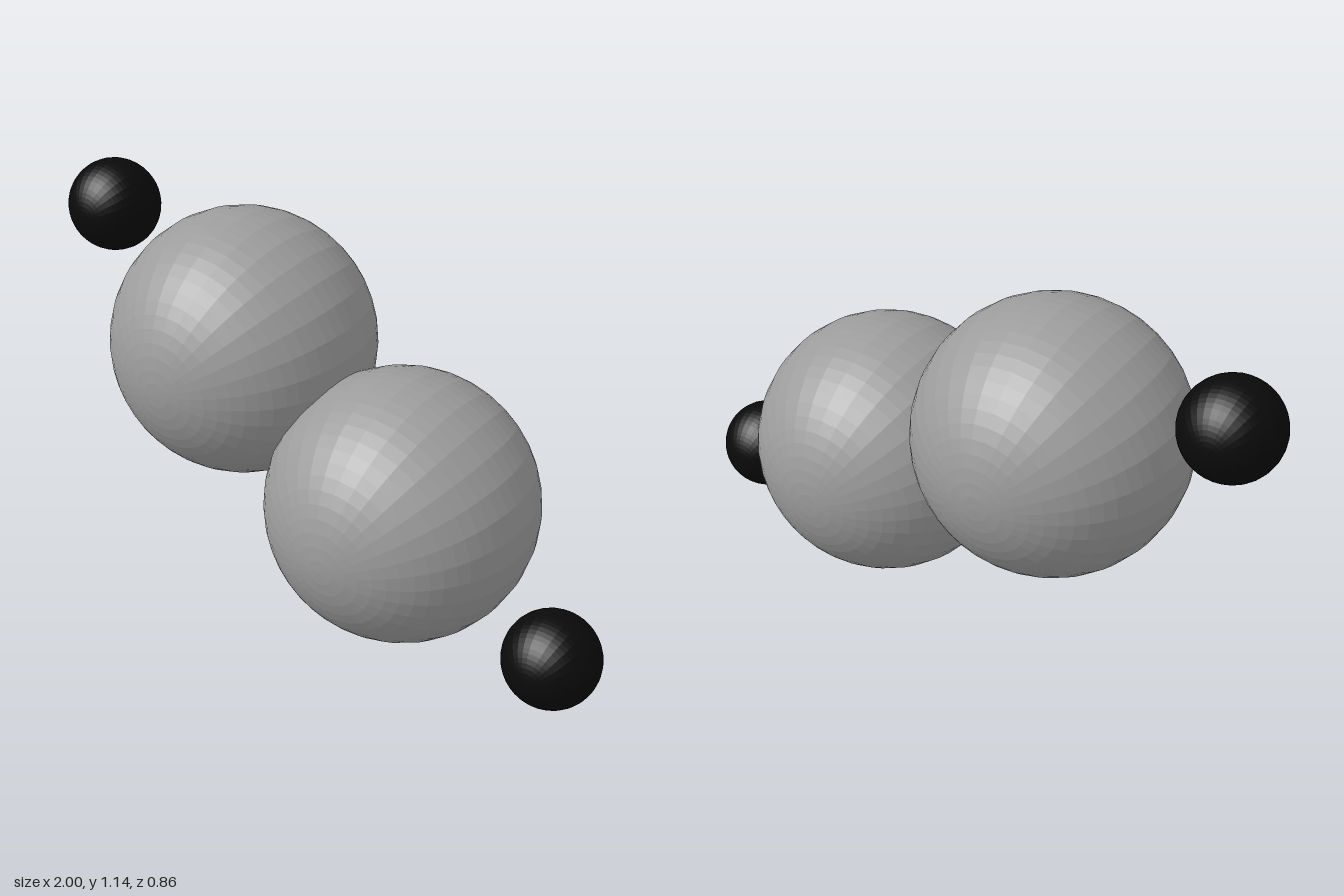
import * as THREE from 'three';

export function createModel() {
  const model = new THREE.Group();
  const bodyMaterial = new THREE.MeshStandardMaterial({ color: 0x9c9c9c, flatShading: true });
  const endMaterial = new THREE.MeshStandardMaterial({ color: 0x0a0a0a, flatShading: true });
  const centerY = 0.569;

  // faceted ball whose poles point along z
  function ball(name, radius, material, x, y, z) {
    const geometry = new THREE.SphereGeometry(radius, 32, 32).rotateX(Math.PI / 2);
    const mesh = new THREE.Mesh(geometry, material);
    mesh.name = name;
    mesh.position.set(x, centerY + y, z);
    model.add(mesh);
  }

  // two overlapping large balls and two detached end balls, point-symmetric about the middle
  for (const [side, s] of [['left', 1], ['right', -1]]) {
    ball(side + 'LargeBall', 0.402, bodyMaterial, 0.31 * s, -0.154 * s, 0.027 * s);
    ball(side + 'EndBall', 0.143, endMaterial, 0.857 * s, -0.426 * s, 0.075 * s);
  }
  return model;
}
